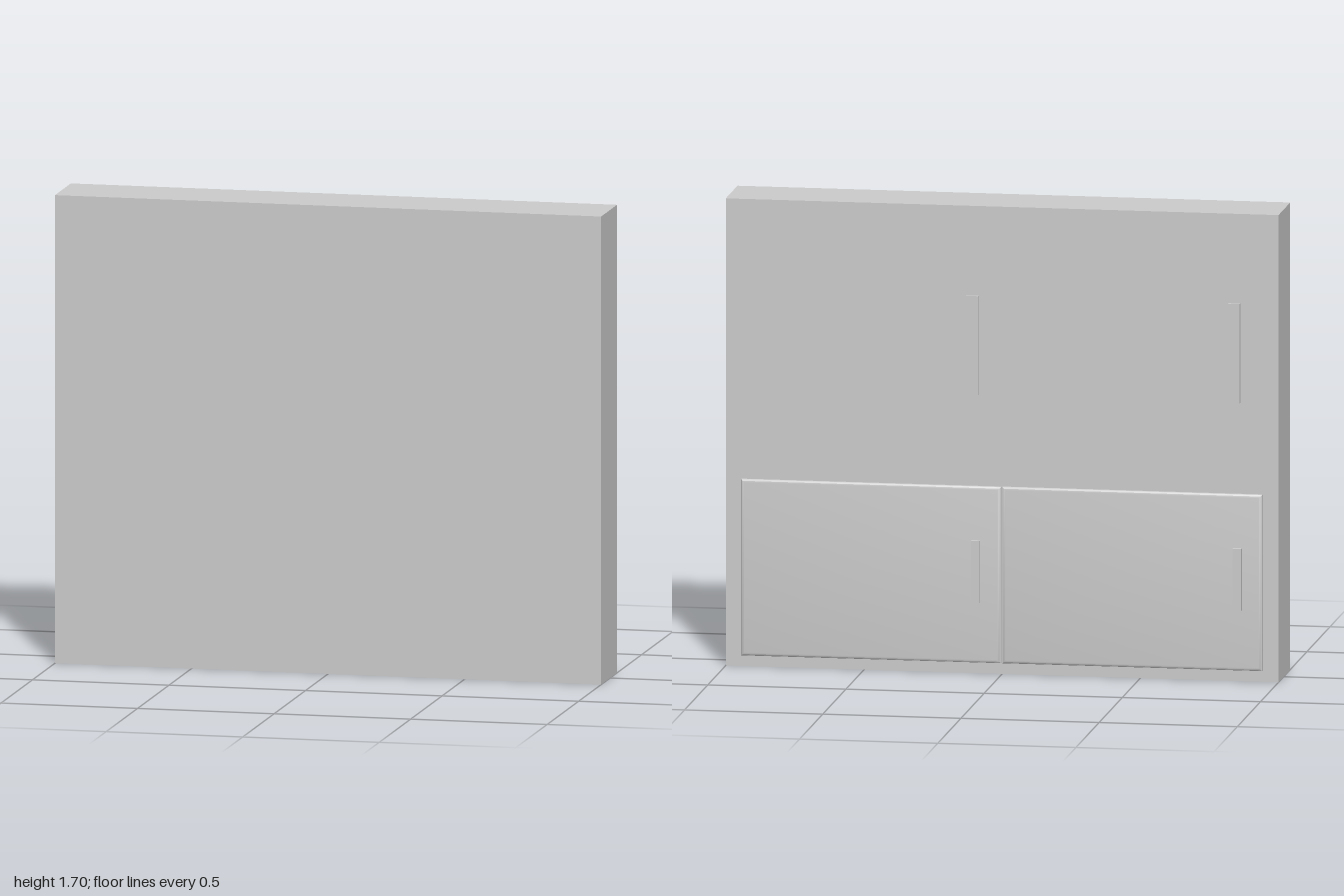
import * as THREE from 'three';
import { toCreasedNormals } from 'three/addons/utils/BufferGeometryUtils.js';

const BACK = -0.111; // plane of the cabinet face that carries the doors
const material = new THREE.MeshStandardMaterial({ color: 0xcccccc });

// Box given by its limits on each axis
function box(name, [x0, x1], [y0, y1], [z0, z1]) {
  const mesh = new THREE.Mesh(new THREE.BoxGeometry(x1 - x0, y1 - y0, z1 - z0), material);
  mesh.position.set((x0 + x1) / 2, (y0 + y1) / 2, (z0 + z1) / 2);
  mesh.name = name;
  return mesh;
}

// Thin panel with softly rounded front edges, facing -z
function doorPanel(name, width, height) {
  const w = width / 2, h = height / 2, bevel = 0.02, round = 0.008;
  const shape = new THREE.Shape([
    new THREE.Vector2(-w, -h), new THREE.Vector2(w, -h),
    new THREE.Vector2(w, h), new THREE.Vector2(-w, h),
  ]);
  const geometry = new THREE.ExtrudeGeometry(shape, {
    depth: 0.007, bevelThickness: round, bevelSize: bevel, bevelOffset: -bevel, bevelSegments: 4,
  });
  geometry.rotateY(Math.PI);
  const mesh = new THREE.Mesh(toCreasedNormals(geometry, 0.7), material);
  mesh.name = name;
  return mesh;
}

export function createModel() {
  const model = new THREE.Group();
  model.name = 'cabinet';

  // Plain cabinet block
  model.add(box('cabinetBody', [-1, 1], [0, 1.695], [BACK, 0.142]));

  // Two bays, each with a lower door, its handle and a longer upper handle
  const doorWidth = 0.945;
  for (const [side, x] of [['right', -doorWidth], ['left', 0]]) {
    const door = doorPanel(side + 'LowerDoor', doorWidth - 0.004, 0.64);
    door.position.set(x + doorWidth / 2, 0.36, BACK);
    model.add(door);
    model.add(box(side + 'LowerHandle', [x + 0.077, x + 0.108], [0.26, 0.485], [-0.142, BACK]));
    model.add(box(side + 'UpperHandle', [x + 0.085, x + 0.128], [1.01, 1.37], [-0.125, BACK]));
  }
  // Bring the right bay's handles to their place beside the outer edge
  for (const name of ['rightLowerHandle', 'rightUpperHandle']) {
    model.getObjectByName(name).position.x -= 0.002;
  }
  return model;
}
